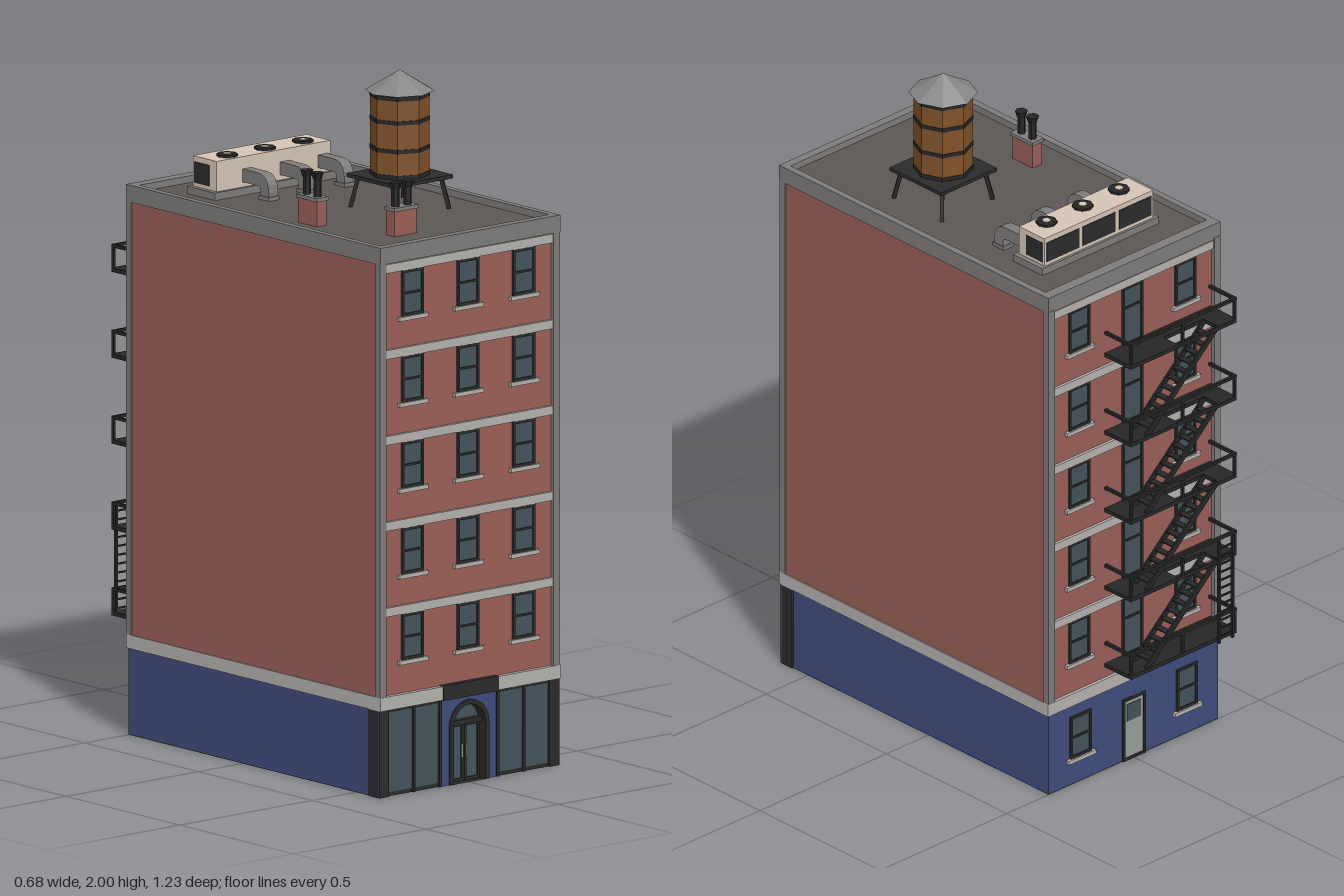
import * as THREE from 'three';

const mat = (color, flat = false) => new THREE.MeshStandardMaterial({ color, flatShading: flat });
const M = {
  brick: mat(0x9a5f57), blue: mat(0x3f4c7c), grey: mat(0x7e7c7a), light: mat(0xb4b1ae),
  roof: mat(0x5c5755), dark: mat(0x2b2b2b), iron: mat(0x262626, true), glass: mat(0x44535a),
  wood: mat(0x80522a, true), cone: mat(0x858585, true), beige: mat(0xd4c4b4), door: mat(0x9a9c9c),
};

function add(parent, name, geo, material) {
  const m = new THREE.Mesh(geo, material);
  m.name = name;
  parent.add(m);
  return m;
}

// Box given by its extents
function box(parent, name, material, x0, x1, y0, y1, z0, z1) {
  const m = add(parent, name, new THREE.BoxGeometry(x1 - x0, y1 - y0, z1 - z0), material);
  m.position.set((x0 + x1) / 2, (y0 + y1) / 2, (z0 + z1) / 2);
  return m;
}

// Square bar between two points
function bar(parent, name, material, a, b, w, h = w) {
  const p = new THREE.Vector3(...a), q = new THREE.Vector3(...b);
  const m = add(parent, name, new THREE.BoxGeometry(w, h, p.distanceTo(q)), material);
  m.position.copy(p).add(q).multiplyScalar(0.5);
  m.lookAt(q);
  return m;
}

function cyl(parent, name, material, r0, r1, y0, y1, x, z, n = 8) {
  const m = add(parent, name, new THREE.CylinderGeometry(r1, r0, y1 - y0, n), material);
  m.position.set(x, (y0 + y1) / 2, z);
  return m;
}

function rectPath(P, x0, x1, y0, y1) {
  const p = new P();
  p.moveTo(x0, y0); p.lineTo(x1, y0); p.lineTo(x1, y1); p.lineTo(x0, y1); p.closePath();
  return p;
}

// Horizontal slab with a rectangular opening; o and h are [x0, x1, z0, z1]
function holedSlab(parent, name, material, o, h, yTop, depth) {
  const s = rectPath(THREE.Shape, ...o);
  s.holes.push(rectPath(THREE.Path, ...h));
  const g = new THREE.ExtrudeGeometry(s, { depth, bevelEnabled: false }).rotateX(Math.PI / 2);
  add(parent, name, g, material).position.y = yTop;
}

// Framed opening on a wall facing +z at depth z
function framed(parent, name, x, w, y0, y1, z, crossbar, fill = M.glass, t = 0.008) {
  const g = new THREE.Group();
  g.name = name;
  const a = x - w / 2, b = x + w / 2, zf = z + 0.006;
  box(g, 'pane', fill, a, b, y0, y1, z - 0.004, z + 0.002);
  box(g, 'frameSide', M.dark, a, a + t, y0, y1, z, zf);
  box(g, 'frameSide', M.dark, b - t, b, y0, y1, z, zf);
  box(g, 'frameTop', M.dark, a, b, y1 - t, y1, z, zf);
  box(g, 'frameBottom', M.dark, a, b, y0, y0 + t, z, zf);
  if (crossbar) box(g, 'crossbar', M.dark, a, b, crossbar - 0.003, crossbar + 0.003, z, zf);
  parent.add(g);
}

function sashWindow(parent, x, y, z) {
  framed(parent, 'window', x, 0.082, y, y + 0.135, z, y + 0.067);
  box(parent, 'windowSill', M.light, x - 0.054, x + 0.054, y - 0.012, y, z - 0.002, z + 0.011);
}

const FLOOR = 0.252, COLS = [-0.21, 0, 0.21];

// Five brick storeys with corner piers, bands and windows
function facade(name, z, doors) {
  const g = new THREE.Group();
  g.name = name;
  for (const s of [-1, 1]) box(g, 'cornerPier', M.grey, s * 0.3275 - 0.0125, s * 0.3275 + 0.0125, 0.295, 1.57, z - 0.01, z + 0.012);
  for (let i = 0; i < 5; i++) {
    const y = 0.392 + FLOOR * i;
    box(g, 'floorBand', M.light, -0.315, 0.315, y + 0.136, y + 0.162, z - 0.002, z + 0.009);
    for (const x of COLS) {
      if (doors && x === 0) framed(g, 'escapeDoor', x, 0.082, y - 0.055, y + 0.135, z, y + 0.067);
      else sashWindow(g, x, y, z);
    }
  }
  return g;
}

function storefront() {
  const g = new THREE.Group();
  g.name = 'storefront';
  for (const s of [-1, 1]) {
    const a = s < 0 ? -0.34 : 0.108, b = a + 0.232;
    box(g, 'shopFrame', M.dark, a, b, 0, 0.255, 0.56, 0.602);
    for (const [c, w] of [[0.159, 0.09], [0.256, 0.086]])
      box(g, 'shopPane', M.glass, s * c - w / 2, s * c + w / 2, 0.012, 0.247, 0.59, 0.604);
    for (const c of [0.109, 0.2075, 0.321])
      bar(g, 'mullion', M.dark, [s * c, 0, 0.604], [s * c, 0.255, 0.604], c > 0.3 ? 0.036 : 0.009, 0.01);
  }
  // Blue surround with an arched doorway
  const arch = (P, r, spring) => {
    const p = new P();
    p.moveTo(-r, 0); p.lineTo(r, 0); p.lineTo(r, spring);
    p.absarc(0, spring, r, 0, Math.PI, false);
    p.closePath();
    return p;
  };
  const wall = rectPath(THREE.Shape, -0.108, 0.108, -0.0005, 0.255);
  wall.holes.push(arch(THREE.Path, 0.066, 0.168));
  add(g, 'doorSurround', new THREE.ExtrudeGeometry(wall, { depth: 0.05, bevelEnabled: false }), M.blue).position.z = 0.555;
  const trim = arch(THREE.Shape, 0.074, 0.168);
  trim.holes.push(arch(THREE.Path, 0.06, 0.168));
  add(g, 'archTrim', new THREE.ExtrudeGeometry(trim, { depth: 0.04, bevelEnabled: false }), M.dark).position.z = 0.57;
  add(g, 'fanlight', new THREE.ShapeGeometry(arch(THREE.Shape, 0.064, 0.168)), M.glass).position.z = 0.578;
  box(g, 'transom', M.dark, -0.064, 0.064, 0.168, 0.182, 0.575, 0.595);
  for (const s of [-1, 1]) {
    framed(g, 'entryDoor', s * 0.03, 0.058, 0, 0.17, 0.579, 0, M.glass, 0.009);
    bar(g, 'doorHandle', M.light, [s * 0.009, 0.07, 0.588], [s * 0.009, 0.11, 0.588], 0.004);
  }
  box(g, 'signBoard', M.dark, -0.105, 0.105, 0.253, 0.297, 0.59, 0.616);
  return g;
}

function waterTower() {
  const g = new THREE.Group();
  g.name = 'waterTower';
  const X = 0.112, Z = 0.172;
  box(g, 'platform', M.dark, X - 0.11, X + 0.11, 1.683, 1.694, Z - 0.107, Z + 0.107);
  cyl(g, 'tank', M.wood, 0.085, 0.085, 1.694, 1.94, X, Z);
  for (const y of [1.7, 1.776, 1.86, 1.93]) cyl(g, 'hoop', M.iron, 0.087, 0.087, y - 0.006, y + 0.006, X, Z);
  cyl(g, 'tankRoof', M.cone, 0.1, 0.001, 1.94, 2, X, Z);
  for (const sx of [-1, 1]) for (const sz of [-1, 1])
    bar(g, 'leg', M.iron, [X + sx * 0.083, 1.69, Z + sz * 0.083], [X + sx * 0.1, 1.595, Z + sz * 0.1], 0.012);
  return g;
}

function chimney(x, z, w, d) {
  const g = new THREE.Group();
  g.name = 'chimney';
  box(g, 'stack', M.brick, x - w / 2 + 0.004, x + w / 2 - 0.004, 1.59, 1.668, z - d / 2 + 0.004, z + d / 2 - 0.004);
  box(g, 'stackCap', M.grey, x - w / 2, x + w / 2, 1.668, 1.679, z - d / 2, z + d / 2);
  for (const s of [-1, 1]) {
    const px = x + (w > d ? s * 0.023 : 0), pz = z + (w > d ? 0 : s * 0.023);
    cyl(g, 'flue', M.iron, 0.012, 0.012, 1.679, 1.735, px, pz, 6);
    cyl(g, 'flueCap', M.iron, 0.013, 0.019, 1.73, 1.75, px, pz, 6);
  }
  return g;
}

function airUnit() {
  const g = new THREE.Group();
  g.name = 'airUnit';
  box(g, 'curb', M.grey, -0.23, 0.23, 1.59, 1.617, -0.365, -0.242);
  box(g, 'housing', M.beige, -0.215, 0.215, 1.617, 1.706, -0.357, -0.252);
  for (const s of [-1, 1]) box(g, 'sideGrille', M.dark, s * 0.215 - 0.002, s * 0.215 + 0.002, 1.628, 1.69, -0.35, -0.283);
  // Duct elbow profile in z and y
  const p = new THREE.Shape();
  p.moveTo(-0.255, 1.632); p.lineTo(-0.185, 1.632);
  p.quadraticCurveTo(-0.172, 1.632, -0.172, 1.617);
  p.lineTo(-0.172, 1.59); p.lineTo(-0.136, 1.59); p.lineTo(-0.136, 1.62);
  p.quadraticCurveTo(-0.138, 1.67, -0.185, 1.67);
  p.lineTo(-0.255, 1.67);
  const duct = new THREE.ExtrudeGeometry(p, { depth: 0.035, bevelEnabled: false, curveSegments: 5 }).rotateY(-Math.PI / 2);
  for (const x of [-0.143, 0, 0.143]) {
    box(g, 'rearGrille', M.dark, x - 0.064, x + 0.064, 1.628, 1.69, -0.359, -0.35);
    cyl(g, 'fanRing', M.iron, 0.031, 0.031, 1.7, 1.713, x, -0.29);
    cyl(g, 'fanHub', M.beige, 0.012, 0.012, 1.71, 1.715, x, -0.29);
    add(g, 'duct', duct, M.grey).position.x = x + 0.06;
    box(g, 'ductFlange', M.grey, x + 0.022, x + 0.063, 1.59, 1.606, -0.178, -0.132);
  }
  return g;
}

function fireEscape() {
  const g = new THREE.Group();
  g.name = 'fireEscape';
  const X0 = -0.31, X1 = 0.108, Z0 = -0.604, Z1 = -0.495;
  for (let i = 0; i < 5; i++) {
    const y = 0.336 + FLOOR * i, top = y + 0.07;
    if (i) holedSlab(g, 'landing', M.iron, [X0, X1, Z0, Z1], [-0.24, -0.08, -0.597, -0.54], y + 0.005, 0.012);
    else box(g, 'landing', M.iron, X0, X1, y - 0.007, y + 0.005, Z0, Z1);
    bar(g, 'handrail', M.iron, [X0, top, -0.6], [X1, top, -0.6], 0.009);
    for (const x of [X0 + 0.004, X1 - 0.004]) bar(g, 'endRail', M.iron, [x, top, -0.6], [x, top, Z1], 0.009);
    for (const x of [X0 + 0.004, -0.1, X1 - 0.004]) bar(g, 'railPost', M.iron, [x, y, -0.6], [x, top, -0.6], 0.008);
    if (!i) continue;
    // Stair rising from the landing below
    const yb = y - FLOOR, xb = 0.04, xt = -0.24;
    for (const z of [-0.595, -0.542]) bar(g, 'stringer', M.iron, [xb, yb, z], [xt, y, z], 0.006, 0.018);
    for (let k = 1; k < 12; k++) {
      const f = k / 12, x = xb + (xt - xb) * f, ty = yb + FLOOR * f;
      box(g, 'tread', M.iron, x - 0.011, x + 0.011, ty - 0.002, ty + 0.002, -0.595, -0.542);
    }
  }
  // Drop ladder
  for (const x of [-0.287, -0.235]) bar(g, 'ladderRail', M.iron, [x, 0.325, -0.61], [x, 0.655, -0.61], 0.008);
  for (let k = 0; k < 12; k++) bar(g, 'rung', M.iron, [-0.287, 0.345 + k * 0.026, -0.61], [-0.235, 0.345 + k * 0.026, -0.61], 0.005);
  return g;
}

export function createModel() {
  const root = new THREE.Group();
  root.name = 'apartmentBuilding';
  // Main masses
  box(root, 'underside', M.dark, -0.335, 0.335, 0, 0.002, -0.5, 0.575);
  box(root, 'groundFloor', M.blue, -0.335, 0.335, 0.002, 0.256, -0.5, 0.575);
  for (const s of [-1, 1]) box(root, 'groundFloorEnd', M.blue, s * 0.3365 - 0.003, s * 0.3365 + 0.003, 0, 0.256, 0.56, 0.604);
  box(root, 'baseBand', M.light, -0.34, 0.34, 0.255, 0.295, -0.504, 0.614);
  box(root, 'brickWalls', M.brick, -0.336, 0.336, 0.295, 1.57, -0.494, 0.6);
  box(root, 'roofDeck', M.roof, -0.325, 0.325, 1.56, 1.595, -0.48, 0.595);
  holedSlab(root, 'parapet', M.grey, [-0.34, 0.34, -0.505, 0.614], [-0.319, 0.319, -0.47, 0.588], 1.615, 0.05);
  // Front and back
  root.add(facade('frontFacade', 0.6, false), storefront());
  const back = facade('backFacade', 0.494, true);
  for (const x of [-0.21, 0.21]) sashWindow(back, x, 0.085, 0.5);
  framed(back, 'backDoor', 0, 0.088, 0, 0.2, 0.5, 0, M.door);
  box(back, 'backDoorPane', M.glass, -0.026, 0.026, 0.125, 0.18, 0.5, 0.504);
  back.rotation.y = Math.PI;
  root.add(back, fireEscape());
  // Rooftop
  root.add(waterTower(), airUnit(), chimney(-0.217, 0.17, 0.044, 0.092), chimney(-0.11, 0.438, 0.092, 0.044));
  return root;
}
